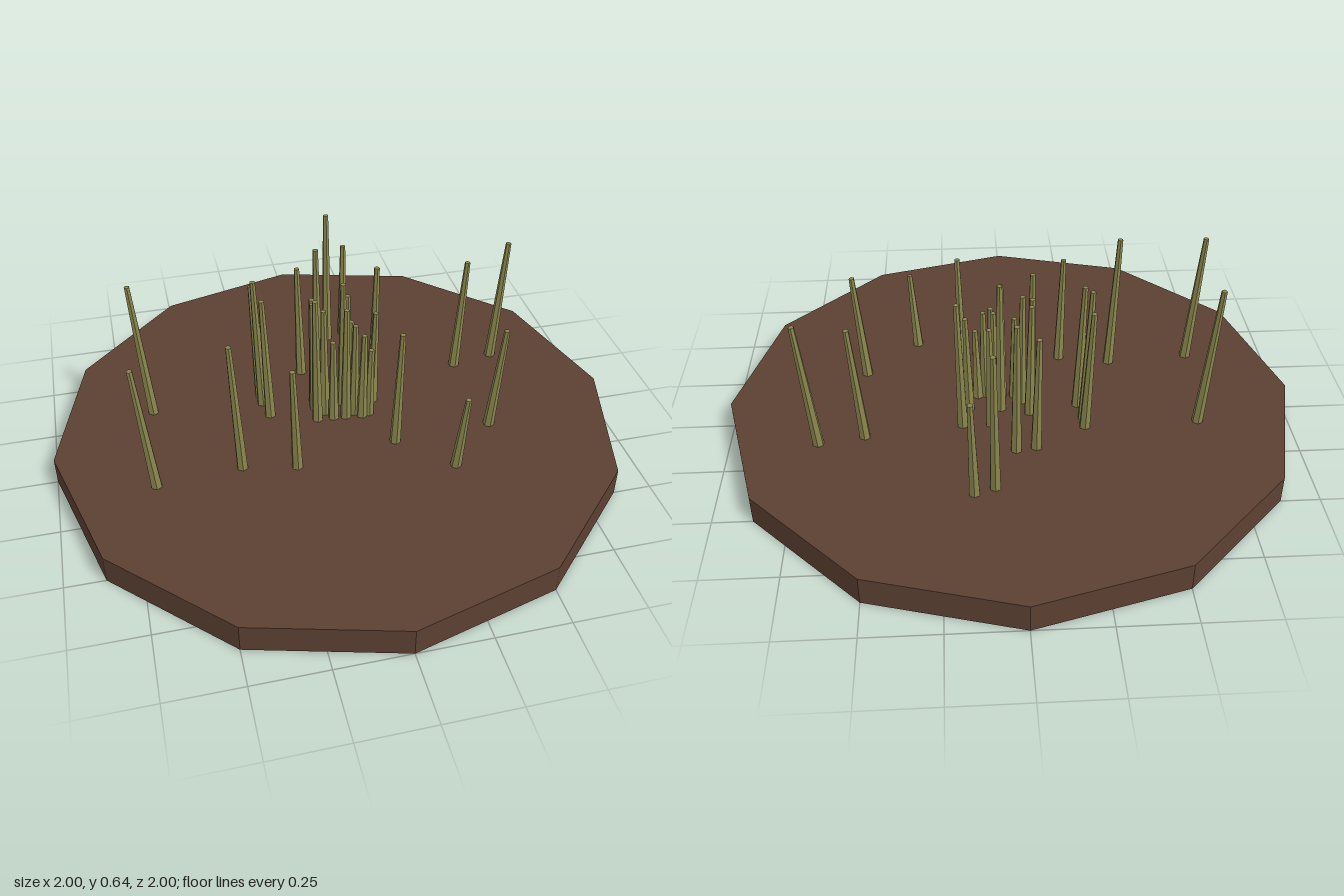
import * as THREE from 'three';

export function createModel() {
  const model = new THREE.Group();
  const soil = new THREE.MeshStandardMaterial({ color: 0x5c4033, flatShading: true });
  soil.name = 'soil brown';
  const straw = new THREE.MeshStandardMaterial({ color: 0x8b864e, flatShading: true });
  straw.name = 'dry reed';

  // Twelve-sided patch of ground
  const ground = new THREE.Mesh(new THREE.CylinderGeometry(1, 1, 0.1, 12), soil);
  ground.name = 'groundDisc';
  ground.position.y = 0.05;
  model.add(ground);

  // Reed stalks: x, z at mid height, and height of the tip
  const stalks = [
    // outer stalks
    [0.08, -0.505, 0.635], [0.15, -0.53, 0.48], [-0.07, -0.305, 0.55],
    [0, -0.317, 0.61], [-0.655, -0.19, 0.635], [-0.25, -0.2, 0.57],
    [-0.25, -0.148, 0.62], [-0.235, -0.072, 0.59], [0.08, -0.17, 0.5],
    [0.182, -0.17, 0.6], [0.525, -0.215, 0.545], [0.685, -0.245, 0.585],
    [0.535, 0.162, 0.505], [0.347, 0.35, 0.395], [0.175, 0.177, 0.56],
    [-0.195, 0.23, 0.515], [-0.383, 0.19, 0.615], [-0.685, 0.215, 0.595],
    // central clump
    [-0.06, -0.11, 0.545], [-0.065, -0.075, 0.55], [-0.07, -0.008, 0.605],
    [-0.035, -0.04, 0.54], [-0.01, -0.005, 0.43], [0.042, -0.08, 0.61],
    [0.062, -0.042, 0.48], [0.035, 0, 0.56], [0.07, -0.015, 0.48],
    [0.095, 0.007, 0.45], [0.122, 0, 0.38], [0.155, -0.073, 0.48],
  ];
  const reeds = new THREE.Group();
  reeds.name = 'reeds';
  const up = new THREE.Vector3(0, 1, 0);
  for (const [x, z, tip] of stalks) {
    // Each stalk leans slightly away from the middle
    const base = new THREE.Vector3(x * 0.975, 0.095, z * 0.975);
    const top = new THREE.Vector3(x * 1.03, tip, z * 1.03);
    const axis = top.clone().sub(base);
    const stalk = new THREE.Mesh(new THREE.CylinderGeometry(0.01, 0.02, axis.length(), 6), straw);
    stalk.name = 'reedStalk';
    stalk.position.copy(base).add(top).multiplyScalar(0.5);
    stalk.quaternion.setFromUnitVectors(up, axis.normalize());
    reeds.add(stalk);
  }
  model.add(reeds);
  return model;
}
